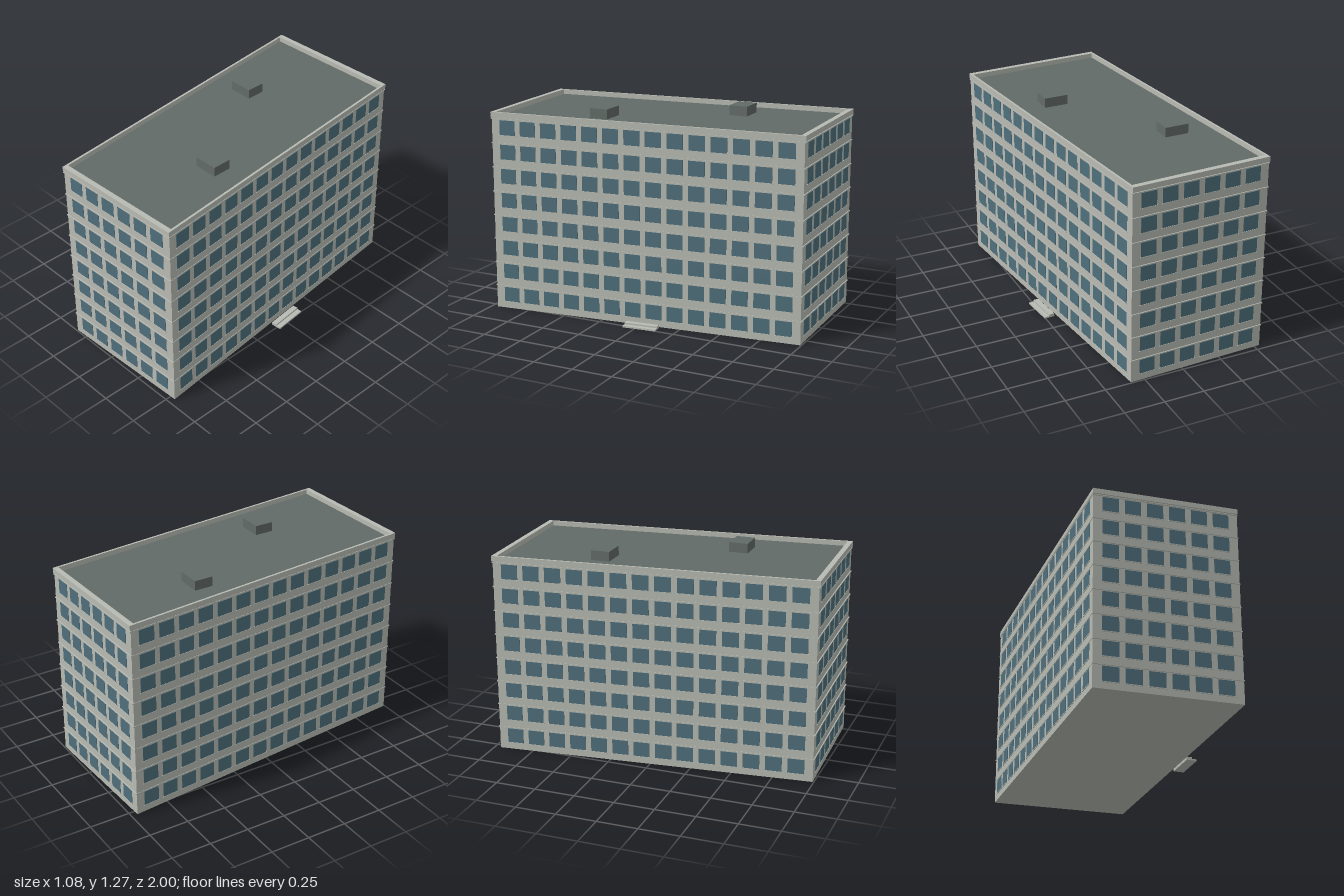
import * as THREE from 'three';
import { mergeGeometries } from 'three/addons/utils/BufferGeometryUtils.js';

// Skewed floor plan (x, z): front-left, front-right, back-right, back-left
const PLAN = [[-0.337, 1], [0.538, 0.968], [0.337, -1], [-0.538, -0.968]];
const FLOORS = 8, PITCH = 0.1513;
const WALL = 0.993, BAND = 0.999, INNER = 0.968;

const mat = (name, color) => Object.assign(new THREE.MeshStandardMaterial({ color }), { name });

function outline(scale, Type = THREE.Shape) {
  return new Type(PLAN.map(([x, z]) => new THREE.Vector2(x * scale, -z * scale)));
}

// Horizontal slab following the floor plan, with an optional opening
function slab(scale, y, height, hole) {
  const shape = outline(scale);
  if (hole) shape.holes.push(outline(hole, THREE.Path));
  const geo = new THREE.ExtrudeGeometry(shape, { depth: height, bevelEnabled: false });
  return geo.rotateX(-Math.PI / 2).translate(0, y, 0);
}

const box = (w, h, d, x, y, z) => new THREE.BoxGeometry(w, h, d).translate(x, y, z);

export function createModel() {
  const wall = mat('pale concrete', 0xb8bbb3);
  const glass = mat('blue grey glass', 0x4f6f7c);
  const roof = mat('dark roofing', 0x626b67);

  const model = new THREE.Group();
  model.name = 'apartmentBlock';
  const add = (parent, name, geo, material) => {
    const mesh = new THREE.Mesh(geo, material);
    mesh.name = name;
    parent.add(mesh);
    return mesh;
  };

  // Main body, parapet and flat roof
  add(model, 'walls', slab(WALL, 0, 1.21, 0), wall);
  add(model, 'parapet', slab(1, 1.21, 0.032, INNER), wall);
  add(model, 'roofDeck', slab(INNER + 0.002, 1.206, 0.006), roof);

  // Thin ledge above each storey
  for (let f = 0; f < FLOORS; f++) {
    add(model, 'floorBand', slab(BAND, 0.14 + f * PITCH, 0.006), wall);
  }

  // Windows and sills, laid out along each facade
  const sides = ['front', 'right', 'back', 'left'];
  PLAN.forEach((p, i) => {
    const q = PLAN[(i + 1) % 4];
    const dx = q[0] - p[0], dz = q[1] - p[1];
    const long = i % 2 === 1;
    const columns = long ? 14 : 6;
    const step = long ? 0.1353 : 0.1328;
    const width = long ? 0.101 : 0.097;
    const panes = [], sills = [];
    for (let f = 0; f < FLOORS; f++) {
      for (let c = 0; c < columns; c++) {
        const x = (c - (columns - 1) / 2) * step;
        panes.push(box(width, 0.091, 0.004, x, 0.0895 + f * PITCH, 0));
        sills.push(box(width + 0.008, 0.005, 0.008, x, 0.0415 + f * PITCH, 0));
      }
    }
    const facade = new THREE.Group();
    facade.name = sides[i] + 'Facade';
    facade.position.set((p[0] + q[0]) / 2 * WALL, 0, (p[1] + q[1]) / 2 * WALL);
    facade.rotation.y = Math.atan2(-dz, dx);
    add(facade, 'windows', mergeGeometries(panes), glass);
    add(facade, 'windowSills', mergeGeometries(sills), wall);
    model.add(facade);
  });

  // Two rooftop service housings
  for (const [x, z] of [[-0.235, -0.362], [0.222, 0.353]]) {
    add(model, 'roofHousing', box(0.15, 0.064, 0.117, x, 1.24, z), roof);
  }

  // Two entrance steps beside the right facade
  const steps = new THREE.Group();
  steps.name = 'entranceSteps';
  steps.position.set(0.483, 0, -0.025);
  steps.rotation.y = Math.atan2(0.201, 1.968);
  add(steps, 'lowerStep', box(0.065, 0.01, 0.21, 0, 0.005, 0), wall);
  add(steps, 'upperStep', box(0.034, 0.01, 0.21, -0.0155, 0.015, 0), wall);
  model.add(steps);

  return model;
}
